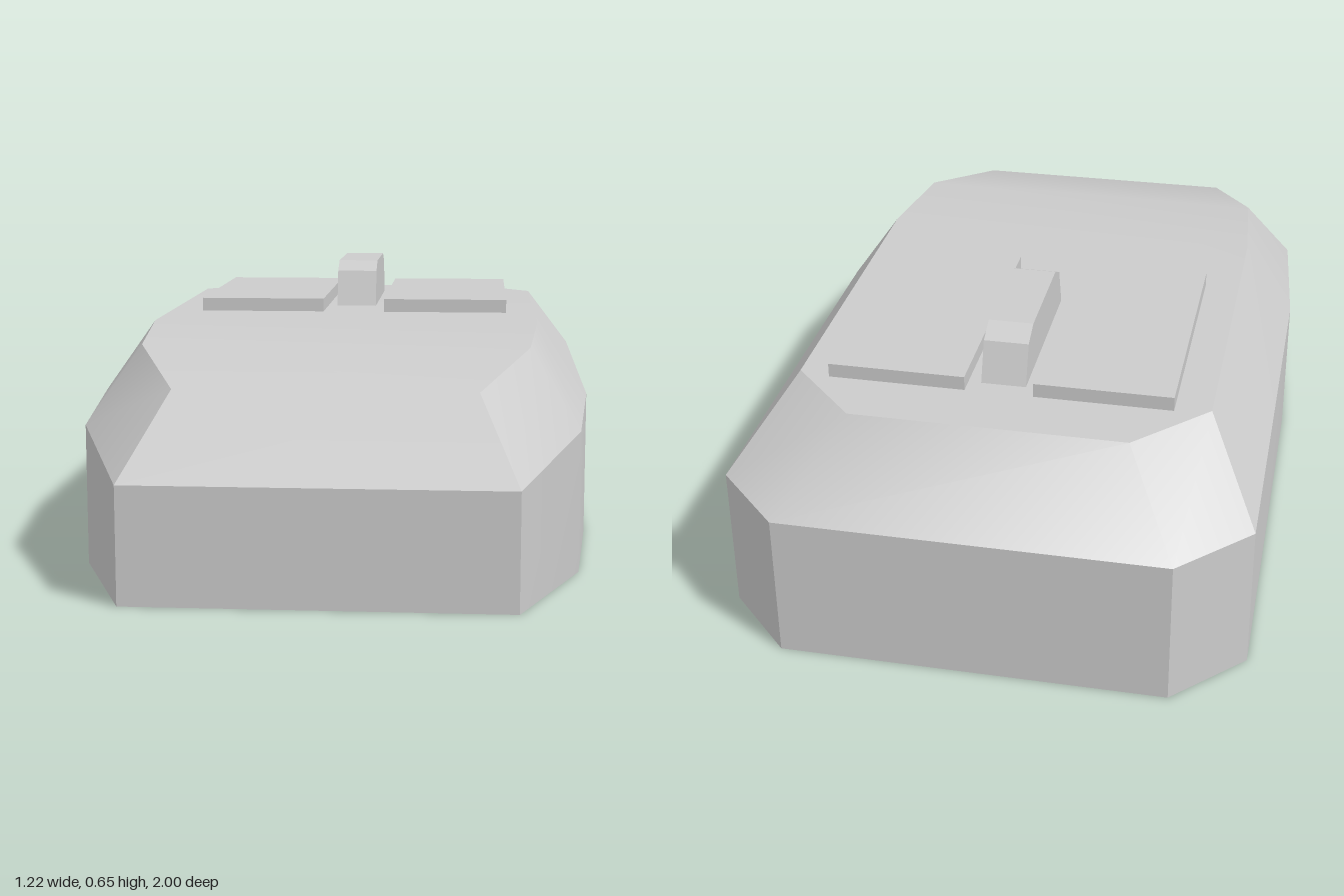
import * as THREE from 'three';
import { toCreasedNormals } from 'three/addons/utils/BufferGeometryUtils.js';

const grey = new THREE.MeshStandardMaterial({ color: 0xcccccc });

function addMesh(group, geometry, name) {
  const mesh = new THREE.Mesh(geometry, grey);
  mesh.name = name;
  group.add(mesh);
  return mesh;
}

// Half outlines from nose to tail: [x, y, z]
const rim = [[0.432, 0.266, 1], [0.575, 0.331, 0.635], [0.611, 0.354, 0.22], [0.611, 0.354, -0.838], [0.45, 0.354, -1]];
const crown = [[0.343, 0.442, 0.793], [0.46, 0.508, 0.525], [0.485, 0.531, 0.22], [0.485, 0.531, -0.633], [0.322, 0.531, -0.8]];
const base = rim.map(([x, , z]) => [x, 0, z]);

// Closed shell: three mirrored rings, walled together, with strips over the top and bottom
function bodyGeometry() {
  const rings = [base, rim, crown].map((half) => [...half, ...half.map(([x, y, z]) => [-x, y, z]).reverse()]);
  const n = rings[0].length;
  const positions = [];
  const quad = (a, b, c, d) => positions.push(...a, ...b, ...c, ...a, ...c, ...d);

  for (let r = 0; r < 2; r++) {
    for (let i = 0; i < n; i++) {
      const j = (i + 1) % n;
      quad(rings[r][i], rings[r][j], rings[r + 1][j], rings[r + 1][i]);
    }
  }
  const [bottom, , top] = rings;
  for (let i = 0; i < n / 2 - 1; i++) {
    const k = n - 1 - i;
    quad(top[i], top[i + 1], top[k - 1], top[k]);
    quad(bottom[k], bottom[k - 1], bottom[i + 1], bottom[i]);
  }
  const geometry = new THREE.BufferGeometry();
  geometry.setAttribute('position', new THREE.Float32BufferAttribute(positions, 3));
  return toCreasedNormals(geometry, THREE.MathUtils.degToRad(33));
}

// Scroll wheel: chamfered side profile (-z, y) extruded across x
function wheelGeometry() {
  const width = 0.106;
  const profile = [[0.172, 0.525], [0.172, 0.531], [0.2, 0.625], [0.25, 0.65], [0.52, 0.65], [0.575, 0.625], [0.61, 0.531], [0.61, 0.525]];
  const shape = new THREE.Shape(profile.map(([z, y]) => new THREE.Vector2(z, y)));
  const geometry = new THREE.ExtrudeGeometry(shape, { depth: width, bevelEnabled: false });
  geometry.translate(0, 0, -width / 2);
  geometry.rotateY(Math.PI / 2);
  geometry.translate(0.002, 0, 0);
  return geometry;
}

export function createModel() {
  const group = new THREE.Group();
  group.name = 'computerMouse';
  addMesh(group, bodyGeometry(), 'body');

  // Two click buttons on the crown
  for (const [name, x] of [['leftButton', 0.248], ['rightButton', -0.238]]) {
    const button = addMesh(group, new THREE.BoxGeometry(0.325, 0.044, 0.63), name);
    button.position.set(x, 0.543, -0.334);
  }

  addMesh(group, wheelGeometry(), 'scrollWheel');
  return group;
}
